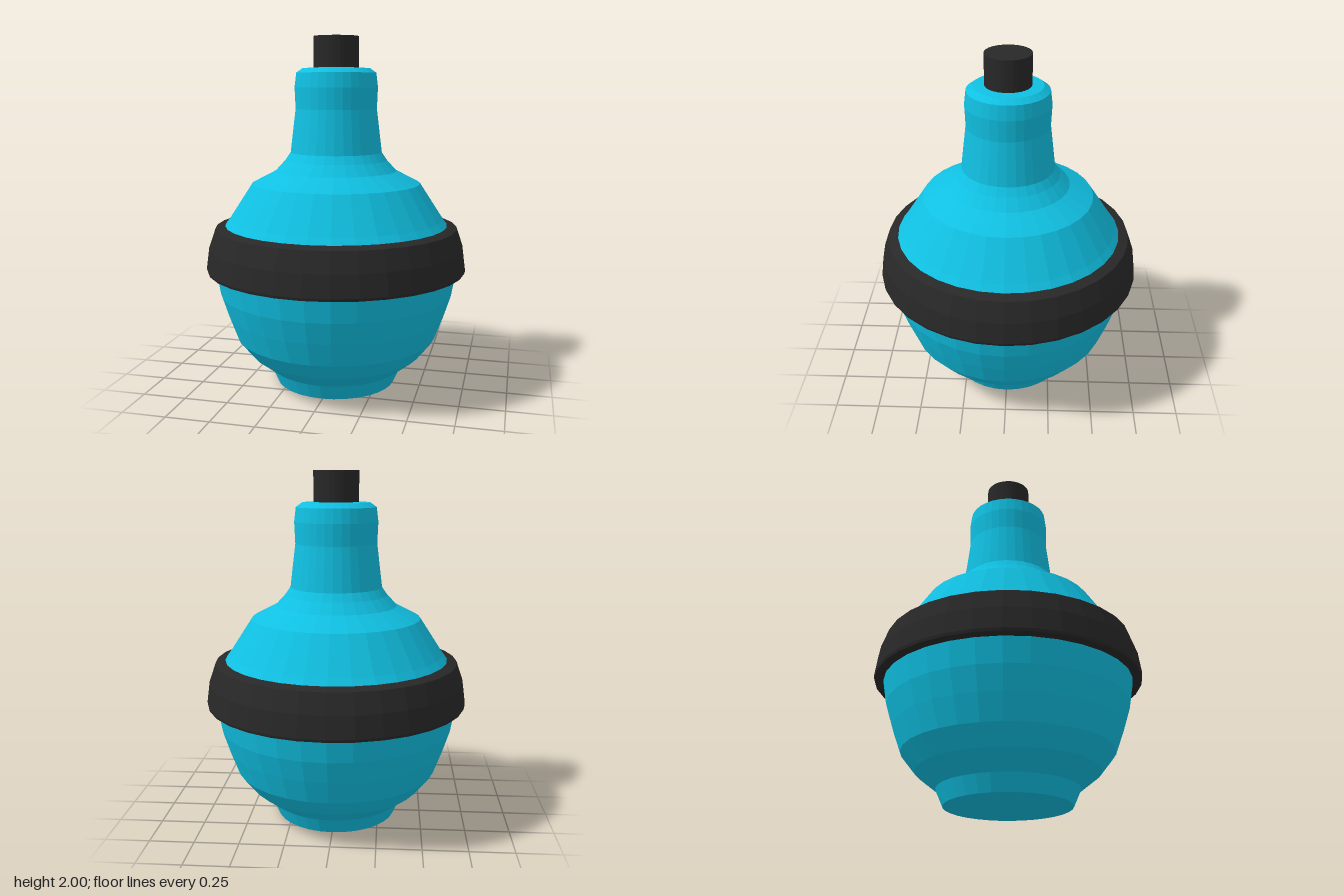
import * as THREE from 'three';

const SIDES = 32;

// Revolve a [radius, height] profile, listed from bottom to top on the outside
function turned(name, profile, material) {
  const points = profile.map(([r, y]) => new THREE.Vector2(r, y));
  const mesh = new THREE.Mesh(new THREE.LatheGeometry(points, SIDES), material);
  mesh.name = name;
  return mesh;
}

export function createModel() {
  const teal = new THREE.MeshStandardMaterial({ color: 0x10c0e2, flatShading: true });
  const black = new THREE.MeshStandardMaterial({ color: 0x282828, flatShading: true });
  const group = new THREE.Group();
  group.name = 'flask';

  // Round body with foot, shoulder and neck in one profile
  group.add(turned('body', [
    [0, 0], [0.12, 0], [0.345, 0.01], [0.385, 0.1], [0.5, 0.19], [0.58, 0.29],
    [0.63, 0.425], [0.67, 0.55], [0.693, 0.68], [0.69, 0.8], [0.64, 0.94],
    [0.61, 0.98], [0.48, 1.18], [0.345, 1.25], [0.29, 1.31], [0.26, 1.355],
    [0.23, 1.6], [0.235, 1.72], [0.225, 1.8], [0.19, 1.825], [0, 1.835],
  ], teal));

  // Wide band around the belly
  group.add(turned('band', [
    [0.68, 0.68], [0.742, 0.685], [0.746, 0.7], [0.73, 0.82], [0.692, 0.93],
    [0.64, 0.945], [0.6, 0.93],
  ], black));

  // Stopper in the neck
  const stopper = new THREE.Mesh(new THREE.CylinderGeometry(0.127, 0.127, 0.2, SIDES), black);
  stopper.name = 'stopper';
  stopper.position.y = 1.9;
  group.add(stopper);

  return group;
}
